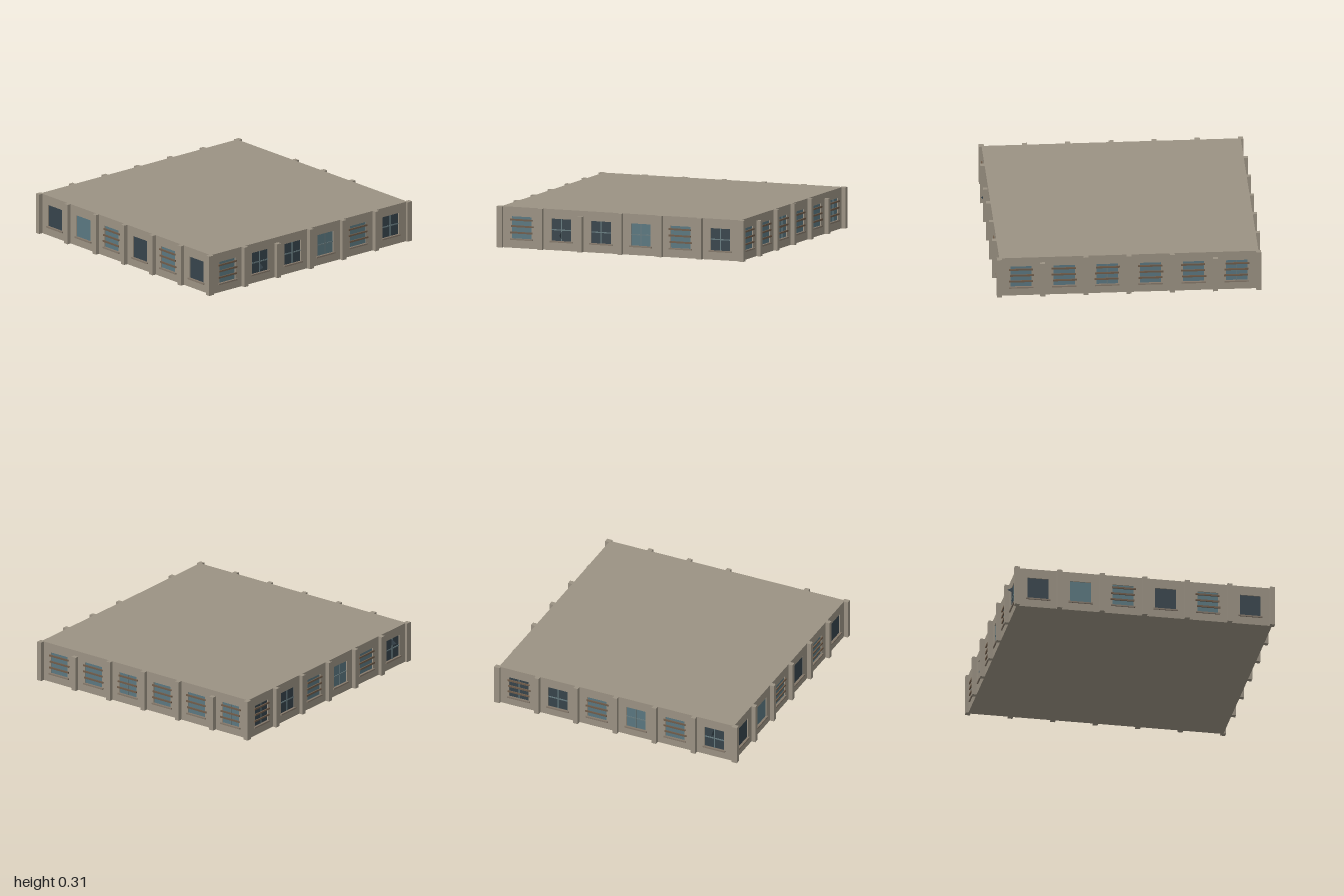
import * as THREE from 'three';

const mat = (name, color) => new THREE.MeshStandardMaterial({ name, color });

export function createModel() {
  const stone = mat('stone', 0x9b9283);
  const blueGlass = mat('blueGlass', 0x5a7780);
  const darkGlass = mat('darkGlass', 0x36434b);
  const glazingBar = mat('glazingBar', 0x667a7e);
  const sillStone = mat('sillStone', 0x84786a);
  const wood = mat('wood', 0x6f5c4a);
  const shardGlass = mat('shardGlass', 0x36434b);
  shardGlass.side = THREE.DoubleSide;

  const model = new THREE.Group();
  model.name = 'storeyBlock';

  const H = 0.307, FACE = 0.962, BACK = 0.95; // height, wall face, pane plane
  const WIN_W = 0.158, WIN_Y0 = 0.07, WIN_Y1 = 0.236;
  const WIN_H = WIN_Y1 - WIN_Y0, WIN_Y = (WIN_Y0 + WIN_Y1) / 2;
  const bays = [-0.8, -0.48, -0.16, 0.16, 0.48, 0.8];

  const box = (parent, name, material, w, h, d, x, y, z) => {
    const m = new THREE.Mesh(new THREE.BoxGeometry(w, h, d), material);
    m.name = name;
    m.position.set(x, y, z);
    parent.add(m);
    return m;
  };

  // Solid middle of the block
  box(model, 'core', stone, BACK * 2, H, BACK * 2, 0, H / 2, 0);

  // Thin outer skin with six window openings
  const wallGeometry = () => {
    const s = new THREE.Shape();
    s.moveTo(-FACE, 0);
    s.lineTo(FACE, 0);
    s.lineTo(FACE, H);
    s.lineTo(-FACE, H);
    s.closePath();
    for (const x of bays) {
      const hole = new THREE.Path();
      hole.moveTo(x - WIN_W / 2, WIN_Y0);
      hole.lineTo(x - WIN_W / 2, WIN_Y1);
      hole.lineTo(x + WIN_W / 2, WIN_Y1);
      hole.lineTo(x + WIN_W / 2, WIN_Y0);
      hole.closePath();
      s.holes.push(hole);
    }
    return new THREE.ExtrudeGeometry(s, { depth: FACE - BACK, bevelEnabled: false });
  };

  // A window: glass, optional cross bars, optional nailed boards, sill
  const addWindow = (side, x, { dark, cross, boards }, seed) => {
    const g = new THREE.Group();
    g.name = 'window';
    g.position.x = x;
    side.add(g);
    box(g, 'glass', dark ? darkGlass : blueGlass, WIN_W, WIN_H, 0.004, 0, WIN_Y, BACK + 0.002);
    if (cross) {
      box(g, 'uprightBar', glazingBar, 0.008, WIN_H, 0.005, 0, WIN_Y, BACK + 0.006);
      box(g, 'crossBar', glazingBar, WIN_W, 0.008, 0.005, 0, WIN_Y, BACK + 0.006);
    }
    if (boards) [0.115, 0.163, 0.211].forEach((y, i) => {
      const shift = 0.006 * Math.sin(seed * 2.1 + i * 1.7);
      box(g, 'board', wood, 0.178, 0.013, 0.009, shift, y, FACE + 0.003);
    });
    box(g, 'sill', sillStone, 0.182, 0.011, 0.02, 0, 0.065, FACE);
  };

  // Broken glass sliver standing out of a window
  const addShard = (side, x, y0, y1) => {
    const s = new THREE.Shape();
    s.moveTo(0, y0);
    s.lineTo(1.0 - BACK, (y0 + y1) / 2);
    s.lineTo(0, y1);
    const m = new THREE.Mesh(new THREE.ShapeGeometry(s), shardGlass);
    m.name = 'glassShard';
    m.rotation.y = -Math.PI / 2;
    m.position.set(x, 0, BACK);
    side.add(m);
  };

  // Window kinds: D dark, B blue, P dark panes, Q blue panes,
  // N boarded blue, K boarded dark panes, X boarded blue panes
  const kinds = {
    D: { dark: true }, B: {}, P: { dark: true, cross: true }, Q: { cross: true },
    N: { boards: true }, K: { dark: true, cross: true, boards: true }, X: { cross: true, boards: true },
  };
  const sides = [
    { name: 'frontSide', turn: 0, windows: 'DBNDND', short: [] },
    { name: 'plusXSide', turn: Math.PI / 2, windows: 'NPPQNP', short: [-1], inner: true },
    { name: 'backSide', turn: Math.PI, windows: 'NNXNNX', short: [-2, 2] },
    { name: 'minusXSide', turn: -Math.PI / 2, windows: 'KPNQNP', short: [], inner: true },
  ];

  sides.forEach(({ name, turn, windows, short, inner }, n) => {
    const side = new THREE.Group();
    side.name = name;
    side.rotation.y = turn;
    model.add(side);

    const wall = new THREE.Mesh(wallGeometry(), stone);
    wall.name = 'wall';
    wall.position.z = BACK;
    side.add(wall);

    bays.forEach((x, i) => addWindow(side, x, kinds[windows[i]], n * 6 + i));

    // Pilasters between the bays; corner ones belong to front and back
    const last = inner ? 2 : 3;
    for (let i = -last; i <= last; i++) {
      const h = short.includes(i) ? 0.265 : H;
      box(side, 'pilaster', stone, 0.037, h, 0.045, i * 0.3207, h / 2, 0.9715);
    }
    if (name === 'plusXSide') addShard(side, -0.48, 0.08, 0.15);
    if (name === 'minusXSide') addShard(side, 0.795, 0.175, 0.23);
  });

  return model;
}
